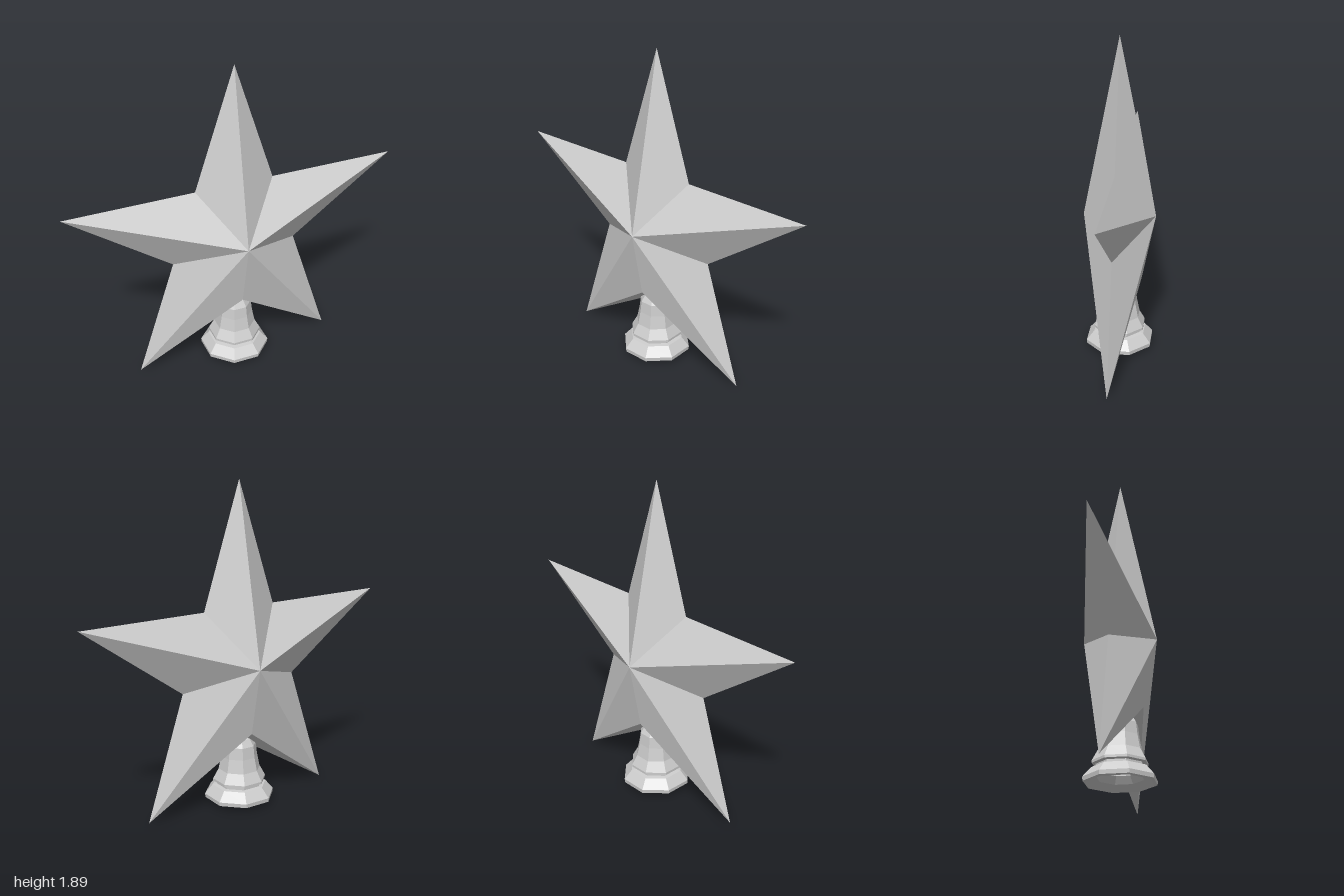
import * as THREE from 'three';

const CENTER_Y = 0.855, OUTER = 1.045, INNER = 0.4, DEPTH = 0.21;

// Faceted half of the star; sign = 1 for the front, -1 for the back
function starHalf(sign) {
  const positions = [];
  const tri = (a, b, c) => {
    for (const p of sign > 0 ? [a, b, c] : [a, c, b]) positions.push(p[0], p[1], p[2] * sign);
  };
  const centre = [0, CENTER_Y, DEPTH];
  const rim = [];
  for (let i = 0; i < 10; i++) {
    const angle = Math.PI / 2 + (i * Math.PI) / 5;
    const r = i % 2 ? INNER : OUTER;
    // the bottom notch is thick so that the stem fits inside
    rim.push([r * Math.cos(angle), CENTER_Y + r * Math.sin(angle), i === 5 ? 0.13 : 0]);
  }
  for (let i = 0; i < 10; i++) tri(centre, rim[i], rim[(i + 1) % 10]);

  // underside of the notch, sloping to a ridge in the middle plane
  const ridge = [0, 0.385, 0];
  tri(rim[5], rim[4], ridge);
  tri(rim[6], rim[5], ridge);

  const geometry = new THREE.BufferGeometry();
  geometry.setAttribute('position', new THREE.Float32BufferAttribute(positions, 3));
  geometry.computeVertexNormals();
  return geometry;
}

export function createModel() {
  const group = new THREE.Group();
  const material = new THREE.MeshStandardMaterial({ color: 0xcccccc, flatShading: true });
  const add = (name, geometry) => {
    const mesh = new THREE.Mesh(geometry, material);
    mesh.name = name;
    group.add(mesh);
  };

  add('starFront', starHalf(1));
  add('starBack', starHalf(-1));

  // Hollow eight-sided socket: inside from top to bottom, then outside upward
  const profile = [
    [0, 0.4], [0.06, 0.38], [0.07, 0.28], [0.1, 0.16], [0.1, 0.1], [0.13, 0.06], [0.19, 0.03],
    [0.205, 0.035], [0.207, 0.058], [0.16, 0.112], [0.135, 0.116], [0.135, 0.132],
    [0.157, 0.136], [0.157, 0.15], [0.124, 0.21], [0.108, 0.29], [0.1, 0.36], [0.075, 0.4], [0, 0.44],
  ].map(([r, y]) => new THREE.Vector2(r, y));
  add('socket', new THREE.LatheGeometry(profile, 8, Math.PI / 8));

  return group;
}
